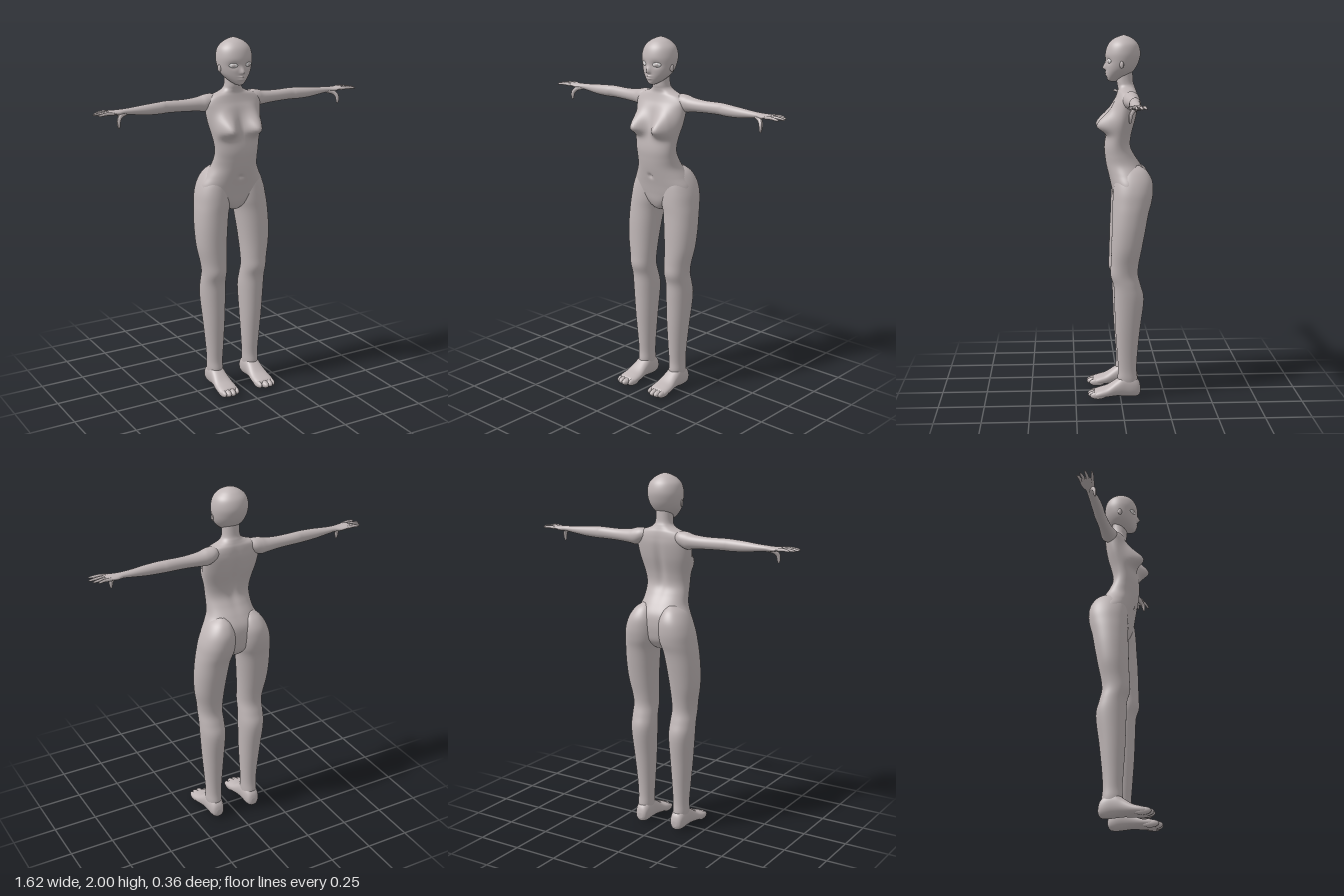
import * as THREE from 'three';

const skin = new THREE.MeshStandardMaterial({ color: 0xbfb6b6 });
skin.name = 'warm grey';
const white = new THREE.MeshStandardMaterial({ color: 0xf2f0f0 });
white.name = 'eye white';

const bump = (d, w) => Math.exp(-(d * d) / (w * w));
const catmull = (a, b, c, d, t) =>
  0.5 * (2 * b + (c - a) * t + (2 * a - 5 * b + 4 * c - d) * t * t + (3 * b - a - 3 * c + d) * t * t * t);

// Maps (along, a, b) to x, y, z; every mapping keeps the same handedness
const AXES = {
  x: (t, a, b) => [t, a, b],
  y: (t, a, b) => [b, t, a],
  z: (t, a, b) => [a, b, t],
};

// Smooth closed loft through rings [along, aMin, aMax, bMin, bMax]
function loft(axis, rings, { segs = 40, steps = 5, power = 1, rule = null } = {}) {
  const pos = [], idx = [], last = rings.length - 1;
  const put = (t, a, b) => {
    const p = new THREE.Vector3(...AXES[axis](t, a, b));
    if (rule) rule(p);
    pos.push(p.x, p.y, p.z);
  };
  const soft = (v) => Math.sign(v) * Math.abs(v) ** power;
  const rows = last * steps;
  for (let i = 0; i <= rows; i++) {
    const k = Math.min(Math.floor(i / steps), last - 1), f = i / steps - k;
    const at = (n) => rings[Math.min(Math.max(n, 0), last)];
    const [t, a0, a1, b0, b1] = rings[0].map((_, c) =>
      catmull(at(k - 1)[c], at(k)[c], at(k + 1)[c], at(k + 2)[c], f));
    for (let j = 0; j < segs; j++) {
      const q = (j / segs) * Math.PI * 2;
      put(t, (a0 + a1) / 2 + ((a1 - a0) / 2) * soft(Math.cos(q)),
        (b0 + b1) / 2 + ((b1 - b0) / 2) * soft(Math.sin(q)));
    }
  }
  for (let i = 0; i < rows; i++) for (let j = 0; j < segs; j++) {
    const a = i * segs + j, b = i * segs + ((j + 1) % segs);
    idx.push(a, b, a + segs, b, b + segs, a + segs);
  }
  // end caps
  for (const [ring, row, flip] of [[rings[0], 0, false], [rings[last], rows, true]]) {
    const c = pos.length / 3;
    put(ring[0], (ring[1] + ring[2]) / 2, (ring[3] + ring[4]) / 2);
    for (let j = 0; j < segs; j++) {
      const a = row * segs + j, b = row * segs + ((j + 1) % segs);
      if (flip) idx.push(c, a, b); else idx.push(c, b, a);
    }
  }
  const g = new THREE.BufferGeometry();
  g.setAttribute('position', new THREE.Float32BufferAttribute(pos, 3));
  g.setIndex(idx);
  g.computeVertexNormals();
  return g;
}

// Tapered digit along a path with a rounded tip
function digit(points, r) {
  const curve = new THREE.CatmullRomCurve3(points.map((p) => new THREE.Vector3(...p)));
  const n = 14, sides = 10;
  const g = new THREE.TubeGeometry(curve, n, r, sides);
  const p = g.attributes.position, v = new THREE.Vector3();
  for (let i = 0; i <= n; i++) {
    const c = curve.getPointAt(i / n), u = i / n;
    const s = (1 - 0.35 * u) * Math.sqrt(Math.max(0, 1 - u ** 8));
    for (let j = 0; j <= sides; j++) {
      const k = i * (sides + 1) + j;
      v.fromBufferAttribute(p, k).sub(c).multiplyScalar(s).add(c);
      p.setXYZ(k, v.x, v.y, v.z);
    }
  }
  g.computeVertexNormals();
  return g;
}

function ellipsoid(center, radii, turn = 0) {
  return new THREE.SphereGeometry(1, 24, 16).scale(...radii).rotateY(turn).translate(...center);
}

// Mirrored copy across x = 0 with corner order restored
function mirrored(geo) {
  const g = geo.clone().scale(-1, 1, 1), ix = g.index;
  for (let i = 0; i < ix.count; i += 3) {
    const b = ix.getX(i + 1);
    ix.setX(i + 1, ix.getX(i + 2));
    ix.setX(i + 2, b);
  }
  g.computeVertexNormals();
  return g;
}

export function createModel() {
  const model = new THREE.Group();
  model.name = 'mannequin';
  const add = (name, geo, mat = skin) => {
    const m = new THREE.Mesh(geo, mat);
    m.name = name;
    model.add(m);
  };
  const pair = (name, geo, mat) => {
    add('left ' + name, geo, mat);
    add('right ' + name, mirrored(geo), mat);
  };

  // Torso and neck: [y, back, front, -x, +x]
  const torso = [
    [1.045, -0.07, -0.02, 0.01], [1.06, -0.1, 0.01, 0.045], [1.1, -0.135, 0.03, 0.12],
    [1.15, -0.148, 0.04, 0.19], [1.2, -0.152, 0.05, 0.187], [1.25, -0.145, 0.062, 0.16],
    [1.3, -0.118, 0.073, 0.134], [1.35, -0.085, 0.08, 0.127], [1.4, -0.062, 0.083, 0.128],
    [1.46, -0.065, 0.075, 0.137], [1.55, -0.088, 0.055, 0.157], [1.62, -0.1, 0.038, 0.165],
    [1.66, -0.1, 0.022, 0.165], [1.69, -0.096, 0.012, 0.135], [1.708, -0.09, 0.008, 0.085],
    [1.725, -0.084, 0.01, 0.056], [1.75, -0.076, 0.014, 0.047], [1.81, -0.072, 0.012, 0.045],
  ].map(([y, b, f, w]) => [y, b, f, -w, w]);
  add('torso', loft('y', torso, {
    segs: 96, steps: 8, power: 0.92,
    rule: (p) => {
      if (p.z > 0) {
        const dy = p.y - 1.515;
        p.z += 0.074 * bump(Math.abs(p.x) - 0.083, 0.052) * bump(dy, dy > 0 ? 0.075 : 0.036)
          * Math.min(1, p.z / 0.03);
        p.z -= 0.012 * bump(p.x, 0.011) * bump(p.y - 1.25, 0.012); // navel
      } else {
        p.z += 0.012 * bump(p.x, 0.025) * bump(p.y - 1.5, 0.14); // spine
      }
    },
  }));

  // Head with brow, sockets, nose and mouth
  const head = [
    [1.75, 0.02, 0.048, 0.006], [1.757, 0.005, 0.062, 0.022], [1.772, -0.03, 0.068, 0.043],
    [1.795, -0.065, 0.071, 0.067], [1.82, -0.087, 0.072, 0.084], [1.855, -0.105, 0.074, 0.095],
    [1.9, -0.115, 0.076, 0.099], [1.945, -0.105, 0.063, 0.088], [1.975, -0.08, 0.037, 0.06],
    [1.992, -0.052, 0.004, 0.029], [2.0, -0.027, -0.021, 0.003],
  ].map(([y, b, f, w]) => [y, b, f, -w, w]);
  add('head', loft('y', head, {
    segs: 80, steps: 8,
    rule: (p) => {
      if (p.z < 0.02) return;
      const ax = Math.abs(p.x);
      p.z += 0.019 * bump(p.x, 0.011) * bump(p.y - 1.823, p.y > 1.823 ? 0.024 : 0.01);
      p.z -= 0.009 * bump(ax - 0.044, 0.022) * bump(p.y - 1.86, 0.017);
      p.z += 0.007 * bump(p.x, 0.016) * (bump(p.y - 1.799, 0.005) + bump(p.y - 1.786, 0.006));
    },
  }));
  pair('eye', ellipsoid([0.044, 1.862, 0.056], [0.024, 0.014, 0.0075], 0.42), white);
  pair('iris', ellipsoid([0.0445, 1.861, 0.0575], [0.014, 0.0105, 0.0078], 0.42));
  pair('ear', ellipsoid([0.094, 1.842, -0.008], [0.007, 0.02, 0.012], -0.4));

  // Arms: [x, yMin, yMax, zMin, zMax]
  pair('arm', loft('x', [
    [0.08, 1.65, 1.69, -0.075, -0.035], [0.12, 1.625, 1.702, -0.098, -0.015],
    [0.16, 1.608, 1.7, -0.102, -0.012], [0.2, 1.613, 1.69, -0.099, -0.02],
    [0.28, 1.619, 1.684, -0.092, -0.028], [0.38, 1.622, 1.686, -0.092, -0.031],
    [0.42, 1.621, 1.685, -0.088, -0.027], [0.5, 1.624, 1.68, -0.083, -0.026],
    [0.58, 1.634, 1.673, -0.079, -0.032], [0.63, 1.64, 1.67, -0.078, -0.032],
    [0.665, 1.641, 1.668, -0.089, -0.022], [0.7, 1.646, 1.668, -0.093, -0.016],
    [0.725, 1.65, 1.666, -0.088, -0.017], [0.738, 1.655, 1.662, -0.07, -0.035],
  ]));
  // Fingers: base z, tip x, tip z
  [[-0.082, 0.775, -0.092], [-0.064, 0.797, -0.071], [-0.045, 0.81, -0.042], [-0.026, 0.795, -0.006]]
    .forEach(([z, tx, tz], i) => pair('finger ' + (i + 1), digit(
      [[0.7, 1.657, z], [0.745, 1.66, z + (tz - z) * 0.5], [tx, 1.655, tz]], 0.0095)));
  pair('thumb', digit(
    [[0.625, 1.65, -0.05], [0.66, 1.638, -0.032], [0.676, 1.618, -0.02], [0.678, 1.575, -0.016]], 0.014));

  // Legs: [y, back, front, inner, outer]
  pair('leg', loft('y', [
    [0.03, -0.095, 0, 0.08, 0.15], [0.1, -0.096, 0.016, 0.074, 0.16],
    [0.16, -0.091, 0.012, 0.073, 0.16], [0.25, -0.095, 0.018, 0.068, 0.166],
    [0.4, -0.11, 0.028, 0.06, 0.18], [0.56, -0.129, 0.034, 0.054, 0.193],
    [0.64, -0.112, 0.038, 0.056, 0.195], [0.7, -0.097, 0.055, 0.058, 0.195],
    [0.76, -0.1, 0.053, 0.056, 0.202], [0.85, -0.117, 0.05, 0.05, 0.219],
    [0.95, -0.136, 0.047, 0.04, 0.224], [1.04, -0.153, 0.043, 0.028, 0.22],
    [1.1, -0.17, 0.042, 0.012, 0.213], [1.16, -0.179, 0.038, 0.008, 0.203],
    [1.22, -0.174, 0.03, 0.012, 0.181], [1.27, -0.146, 0.012, 0.03, 0.148],
    [1.3, -0.105, -0.03, 0.06, 0.105],
  ], { segs: 56, power: 0.94 }));

  // Feet: [z, inner, outer, bottom, top]
  pair('foot', loft('z', [
    [-0.113, 0.1, 0.13, 0.03, 0.06], [-0.102, 0.083, 0.15, 0.01, 0.095],
    [-0.07, 0.073, 0.16, 0.003, 0.125], [-0.02, 0.071, 0.163, 0.006, 0.132],
    [0.02, 0.068, 0.166, 0.009, 0.104], [0.07, 0.061, 0.174, 0.006, 0.07],
    [0.11, 0.059, 0.177, 0.003, 0.056], [0.138, 0.063, 0.174, 0.002, 0.047],
    [0.15, 0.075, 0.165, 0.01, 0.036],
  ], { power: 0.88 }));
  [[0.076, 0.016, 0.168], [0.108, 0.021, 0.183], [0.135, 0.021, 0.181], [0.158, 0.016, 0.171]]
    .forEach(([x, r, tip], i) => pair('toe ' + (i + 1),
      ellipsoid([x, 0.022, tip - 0.045], [r, 0.021, 0.045])));

  return model;
}
